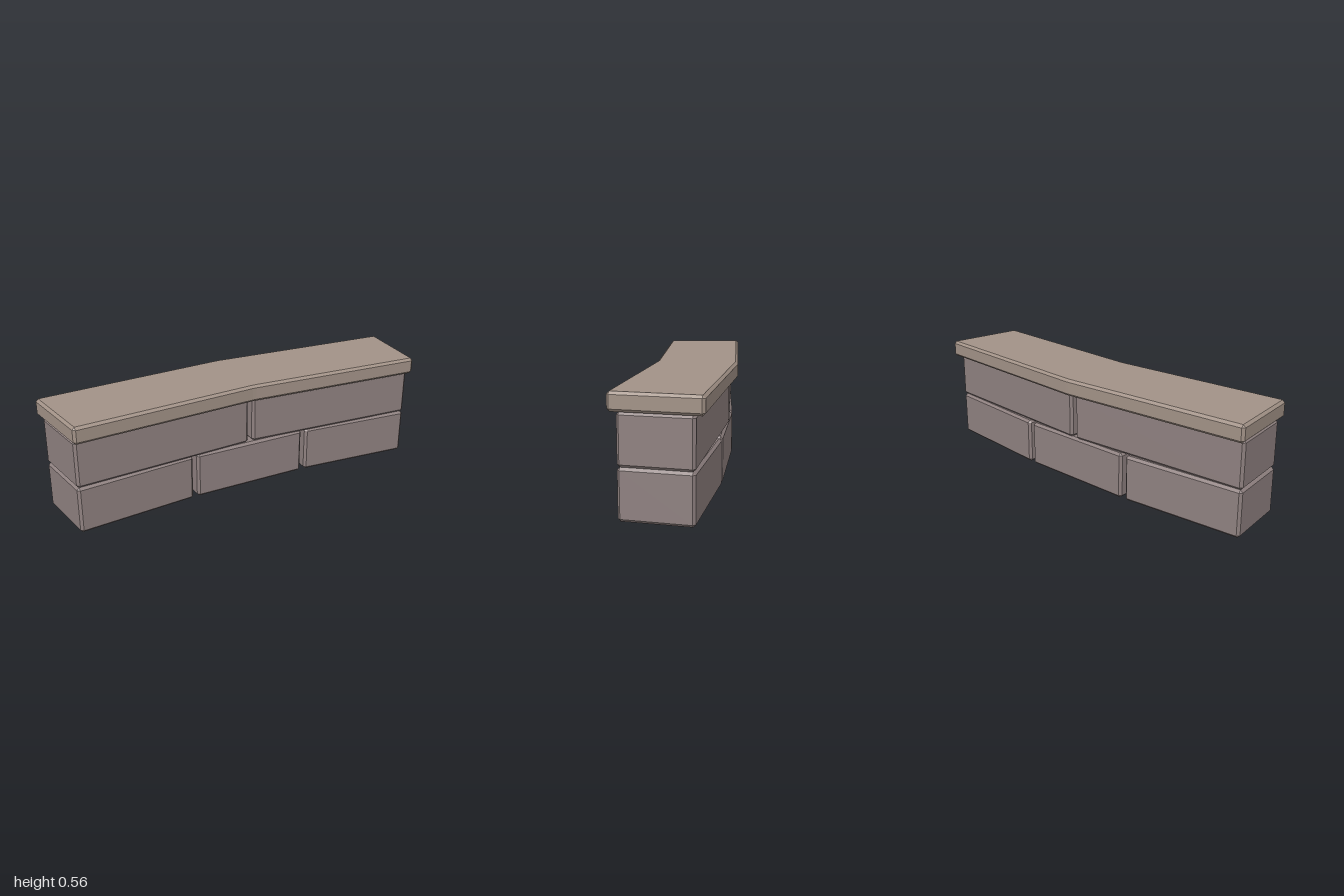
import * as THREE from 'three';

const CENTRE_Z = 7.517;  // centre of the arc the wall follows
const CHAMFER = 0.0125;
const END = 0.1273;      // half angle of the brick courses
const GAP = 0.0016;      // half angle of a joint between bricks

// Cross-section at angle a: a chamfered rectangle, or its inset face at a block's end
function ring(a, r0, r1, y0, y1, isEnd) {
  const c = CHAMFER;
  const corners = [[r1, y0, -1, 1], [r1, y1, -1, -1], [r0, y1, 1, -1], [r0, y0, 1, 1]];
  const points = [];
  corners.forEach(([r, y, dr, dy], i) => {
    const alongR = [r + dr * c, y], alongY = [r, y + dy * c], inset = [r + dr * c, y + dy * c];
    const pair = isEnd ? [inset, inset] : i % 2 ? [alongY, alongR] : [alongR, alongY];
    points.push(...pair);
  });
  return points.map(([r, y]) => new THREE.Vector3(r * Math.sin(a), y, CENTRE_Z - r * Math.cos(a)));
}

// Chamfered block between two angles, with optional bends in between
function block(name, material, a0, a1, r0, r1, y0, y1, bends = []) {
  const da = CHAMFER / r1;
  const stations = [a0, a0 + da, ...bends, a1 - da, a1];
  const last = stations.length - 1;
  const rings = stations.map((a, i) => ring(a, r0, r1, y0, y1, i === 0 || i === last));
  const positions = [];
  const tri = (a, b, c) => {
    if (a.equals(b) || b.equals(c) || a.equals(c)) return;
    for (const p of [a, b, c]) positions.push(p.x, p.y, p.z);
  };
  for (let i = 0; i < last; i++) {
    for (let j = 0; j < 8; j++) {
      const k = (j + 1) % 8;
      tri(rings[i][j], rings[i][k], rings[i + 1][k]);
      tri(rings[i][j], rings[i + 1][k], rings[i + 1][j]);
    }
  }
  // End faces
  const s = rings[0], e = rings[last];
  for (const j of [2, 4]) {
    tri(s[0], s[j + 2], s[j]);
    tri(e[0], e[j], e[j + 2]);
  }
  const geometry = new THREE.BufferGeometry();
  geometry.setAttribute('position', new THREE.Float32BufferAttribute(positions, 3));
  geometry.computeVertexNormals();
  const mesh = new THREE.Mesh(geometry, material);
  mesh.name = name;
  return mesh;
}

export function createModel() {
  const model = new THREE.Group();
  model.name = 'curvedWall';
  const brick = new THREE.MeshStandardMaterial({ color: 0x8f8180, flatShading: true });
  const stone = new THREE.MeshStandardMaterial({ color: 0xa29287, flatShading: true });

  // Brick courses: three below, two above
  [3, 2].forEach((count, row) => {
    const course = new THREE.Group();
    course.name = row ? 'upperCourse' : 'lowerCourse';
    const step = 2 * (END + GAP) / count;
    for (let i = 0; i < count; i++) {
      const start = -END + i * step;
      course.add(block(`brick${i + 1}`, brick, start, start + step - 2 * GAP,
        7.377, 7.717, row * 0.237, (row + 1) * 0.237));
    }
    model.add(course);
  });

  // Overhanging coping slab, bent at its middle
  model.add(block('coping', stone, -0.129, 0.129, 7.34, 7.76, 0.474, 0.56, [-0.0012, 0.0012]));
  return model;
}
